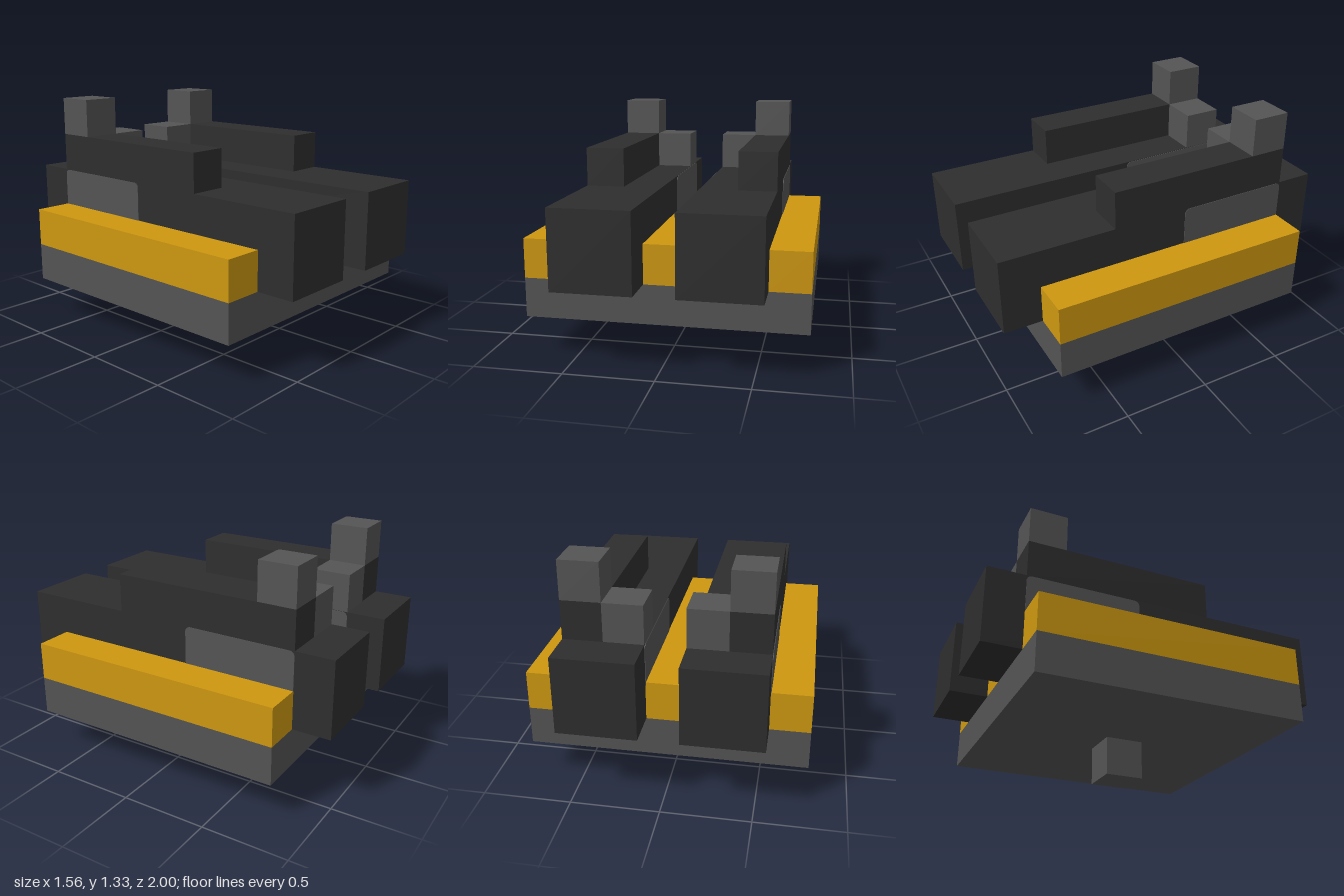
import * as THREE from 'three';

const U = 2 / 9; // one grid block

const gold = new THREE.MeshStandardMaterial({ name: 'gold', color: 0xcd9710 });
const grey = new THREE.MeshStandardMaterial({ name: 'midGrey', color: 0x545454 });
const dark = new THREE.MeshStandardMaterial({ name: 'charcoal', color: 0x2e2e2e });

// Box given by its lower and upper corners in blocks
function block(name, material, [x0, y0, z0], [x1, y1, z1]) {
  const mesh = new THREE.Mesh(
    new THREE.BoxGeometry((x1 - x0) * U, (y1 - y0) * U, (z1 - z0) * U), material);
  mesh.position.set((x0 + x1) / 2 * U, (y0 + y1) / 2 * U, (z0 + z1) / 2 * U);
  mesh.name = name;
  return mesh;
}

// Thin plate with rounded upper corners, lying in the yz plane
function sidePlate(name, x) {
  const a = 0.5 * U, b = 3.5 * U, y0 = 2.92 * U, y1 = 4 * U - 0.002, r = 0.03;
  const s = new THREE.Shape();
  s.moveTo(a, y0);
  s.lineTo(b, y0);
  s.lineTo(b, y1 - r);
  s.absarc(b - r, y1 - r, r, 0, Math.PI / 2);
  s.lineTo(a + r, y1);
  s.absarc(a + r, y1 - r, r, Math.PI / 2, Math.PI);
  s.closePath();
  const t = 0.006;
  const geo = new THREE.ExtrudeGeometry(s, { depth: t, bevelEnabled: false, curveSegments: 5 });
  geo.translate(0, 0, -t / 2);
  geo.rotateY(Math.PI / 2); // shape x becomes -z
  const mesh = new THREE.Mesh(geo, grey);
  mesh.position.x = x * U;
  mesh.name = name;
  return mesh;
}

export function createModel() {
  const model = new THREE.Group();
  model.name = 'twinBlockDevice';

  // Base slab on its peg
  model.add(block('mountPeg', grey, [-0.5, 0, -0.5], [0.5, 1, 0.5]));
  model.add(block('baseSlab', grey, [-3.5, 1, -3.5], [3.5, 2, 3.5]));

  // Gold rails between and beside the barrels
  for (const x of [-3, 0, 3]) {
    model.add(block('goldRail', gold, [x - 0.5, 2, -3.5], [x + 0.5, 3, 3.5]));
  }

  // Mirrored barrels with ridge, sights and side plates
  for (const side of [1, -1]) {
    const group = new THREE.Group();
    group.name = side > 0 ? 'leftBarrel' : 'rightBarrel';
    const add = (name, mat, x0, x1, y0, y1, z0, z1) => group.add(block(name, mat,
      [Math.min(side * x0, side * x1), y0, z0], [Math.max(side * x0, side * x1), y1, z1]));
    add('barrelBody', dark, 0.5, 2.5, 2, 4, -4.5, 4.5);
    add('topRidge', dark, 1.5, 2.5, 4, 5, -3.5, 1.5);
    add('rearPost', grey, 1.5, 2.5, 5, 6, -3.5, -2.5);
    add('innerCube', grey, 0.5, 1.5, 4, 5, -3.5, -2.5);
    group.add(sidePlate('outerPlate', side * 2.5), sidePlate('innerPlate', side * 0.5));
    model.add(group);
  }
  return model;
}
